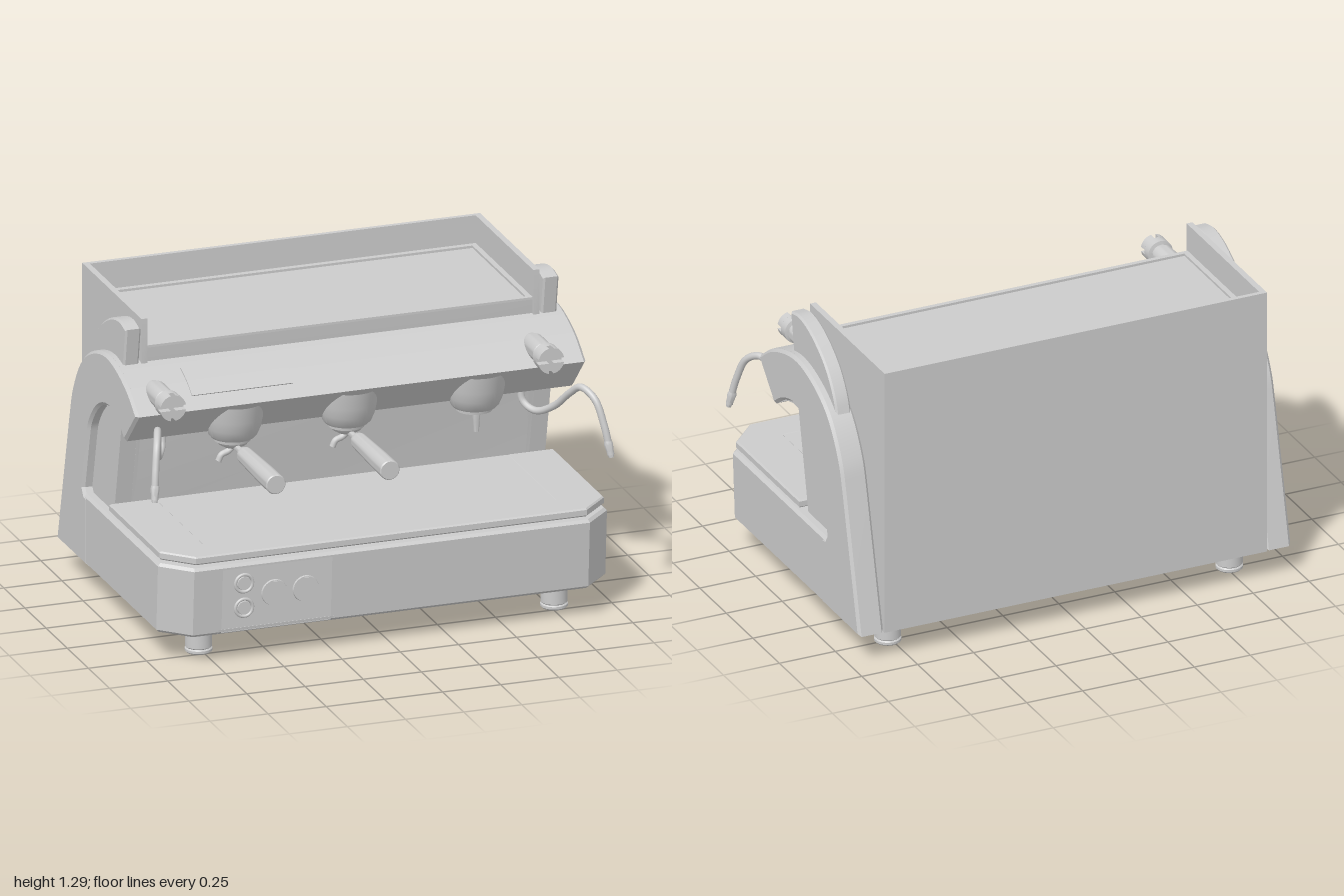
import * as THREE from 'three';
import { toCreasedNormals } from 'three/addons/utils/BufferGeometryUtils.js';

const grey = new THREE.MeshStandardMaterial({ color: 0xcccccc });
const V2 = (p) => new THREE.Vector2(p[0], p[1]);
const V3 = (p) => new THREE.Vector3(p[0], p[1], p[2]);

function add(parent, name, geo, x = 0, y = 0, z = 0) {
  const m = new THREE.Mesh(geo, grey);
  m.name = name;
  m.position.set(x, y, z);
  parent.add(m);
  return m;
}

// Smooth run of [z, y] points through a few control points
function smooth(pts, n = 28) {
  const c = new THREE.CatmullRomCurve3(pts.map((p) => new THREE.Vector3(p[0], p[1], 0)), false, 'centripetal');
  return c.getPoints(n).map((p) => [p.x, p.y]);
}

function extrude(pts, depth, bevel) {
  return new THREE.ExtrudeGeometry(new THREE.Shape(pts.map(V2)), {
    depth: depth - 2 * bevel, bevelEnabled: bevel > 0, bevelSize: bevel,
    bevelThickness: bevel, bevelOffset: -bevel, bevelSegments: 1,
  }).translate(0, 0, bevel - depth / 2);
}

// Side profile [z, y] swept across x
const across = (pts, width, bevel = 0) =>
  toCreasedNormals(extrude(pts, width, bevel).rotateY(-Math.PI / 2), 0.4);

// Plan outline [x, z] swept up from y0 to y1
const upward = (pts, y0, y1, bevel = 0) =>
  toCreasedNormals(extrude(pts, y1 - y0, bevel).rotateX(Math.PI / 2).translate(0, (y0 + y1) / 2, 0), 0.4);

// Turned part; forward = true lays its axis along +z
function turned(pts, forward = false, seg = 32) {
  const g = new THREE.LatheGeometry(pts.map(V2), seg);
  if (forward) g.rotateX(Math.PI / 2);
  return toCreasedNormals(g, 0.6);
}

// Slant a geometry forwards or backwards with height, wherever z > zMin
function lean(geo, y0, slope, zMin = -Infinity) {
  const p = geo.attributes.position;
  for (let i = 0; i < p.count; i++) if (p.getZ(i) > zMin) p.setZ(i, p.getZ(i) + (p.getY(i) - y0) * slope);
  return toCreasedNormals(geo, 0.4);
}

const tube = (pts, r, n = 60) =>
  new THREE.TubeGeometry(new THREE.CatmullRomCurve3(pts.map(V3)), n, r, 12);

// Front edge with chamfered corners, from right to left, with an optional notch
const chamferedFront = (w, front, c, notch = []) =>
  [[w, front - c], [w - c, front], ...notch, [c - w, front], [-w, front - c]];

const outerArc = [[0.294, 0.971], [0.163, 1.06], [-0.05, 1.117], [-0.227, 1.08], [-0.368, 0.993], [-0.474, 0.833], [-0.513, 0.706]];
const innerArc = [[-0.29, 0.691], [-0.269, 0.752], [-0.173, 0.855], [-0.05, 0.9], [0.057, 0.876], [0.147, 0.818]];

function buildBody(g) {
  // Base with a leaning front and a notch for the controls
  const notch = [[-0.257, 0.655], [-0.257, 0.6], [-0.727, 0.6], [-0.727, 0.655]];
  const plan = [[-0.965, -0.56], [0.965, -0.56], ...chamferedFront(0.965, 0.655, 0.115, notch)];
  add(g, 'base', lean(upward(plan, 0.125, 0.428, 0.012), 0.428, 0.07, 0.4));

  // Drip tray floating just above the base: frame around a slightly sunken grid
  add(g, 'dripTrayFrame', upward([[-0.955, -0.065], [-0.755, -0.065], [-0.755, 0.5], [0.755, 0.5], [0.755, -0.065], [0.955, -0.065],
    ...chamferedFront(0.955, 0.645, 0.115)], 0.44, 0.475, 0.006));
  add(g, 'dripGrid', new THREE.BoxGeometry(1.515, 0.031, 0.57), 0, 0.4565, 0.22);

  // Cabinet and working wall
  const wall = [[-0.655, 0.125], [-0.12, 0.125], [-0.09, 0.42], [0.01, 0.88]];
  add(g, 'cabinet', across([...wall, [0.035, 1.166], [-0.655, 1.166]], 1.68));
  add(g, 'workingWall', across([[-0.09, 0.42], [0.01, 0.885], [-0.17, 0.9], [-0.32, 0.75], [-0.4, 0.42]], 1.85));
  add(g, 'backPanel', new THREE.BoxGeometry(1.71, 1.17, 0.02), 0, 0.71, -0.65);

  // Cup tray on top: raised border around a sunken floor, open at the front
  add(g, 'cupTrayBackBorder', new THREE.BoxGeometry(1.66, 0.01, 0.03), 0, 1.171, -0.63);
  add(g, 'cupTrayFrontBorder', new THREE.BoxGeometry(1.66, 0.01, 0.02), 0, 1.171, 0.025);
  for (const s of [-1, 1]) {
    add(g, 'sidePanel', across([...wall, [0.042, 1.06], [0.042, 1.295], [-0.655, 1.295]], 0.026), s * 0.842);
    add(g, 'cupTraySideBorder', new THREE.BoxGeometry(0.024, 0.01, 0.63), s * 0.818, 1.171, -0.3);
  }

  // Side arches and the fins above them
  const arch = [...smooth(outerArc), [-0.655, 0.125], [-0.3, 0.125], [-0.3, 0.42], [-0.33, 0.425], [-0.347, 0.45], ...smooth(innerArc, 20)];
  const fin = [[0.032, 1.06], ...smooth([[0.067, 1.265], [-0.01, 1.28], [-0.12, 1.255], [-0.262, 1.167], [-0.343, 1.06], [-0.372, 0.98]], 18), [-0.2, 0.95]];
  for (const s of [-1, 1]) {
    add(g, 'sideArch', across(arch, 0.113, 0.012), s * 0.911);
    add(g, 'sideFin', across(fin, 0.067, 0.008), s * 0.898);
  }

  // Curved hood between the arches, with a thin display strip following it
  const top = smooth(outerArc.slice(0, 4), 48);
  add(g, 'hood', across([...top, [-0.227, 0.88], [0, 0.885], [0.057, 0.87], [0.147, 0.818]], 1.9));
  const face = top.filter(([z]) => z > 0.09 && z < 0.24).map(([z, y]) => [z + 0.002, y + 0.005]);
  add(g, 'display', across([...face, [0.09, 1.06], [0.22, 0.99]], 0.435), -0.4925);
}

function buildControls(g) {
  // Upright plate set back in the notch, closed above and below
  const c = new THREE.Group();
  c.name = 'controlPanel';
  c.position.set(0, 0.277, 0.634);
  g.add(c);
  add(c, 'controlPlate', new THREE.BoxGeometry(0.47, 0.29, 0.04), -0.492, 0, -0.02);
  add(g, 'panelTop', across([[0.59, 0.408], [0.6535, 0.408], [0.654, 0.416], [0.643, 0.428], [0.59, 0.428]], 0.494), -0.492);
  add(g, 'panelBottom', across([[0.59, 0.125], [0.622, 0.125], [0.6345, 0.137], [0.636, 0.147], [0.59, 0.147]], 0.494), -0.492);
  for (const y of [-0.047, 0.058]) {
    add(c, 'buttonRing', new THREE.TorusGeometry(0.037, 0.007, 8, 28), -0.63, y, 0.002);
    add(c, 'button', turned([[0.03, 0], [0.028, 0.007], [0, 0.007]], true), -0.63, y);
  }
  for (const x of [-0.5, -0.365]) {
    add(c, 'dial', turned([[0.056, 0], [0.054, 0.008], [0, 0.008]], true), x, 0.003);
    add(c, 'dialGrip', new THREE.BoxGeometry(0.016, 0.104, 0.016), x, 0.003, 0.01);
  }
}

function buildFeet(g) {
  const profile = [[0, 0], [0.05, 0], [0.056, 0.006], [0.056, 0.016], [0.05, 0.021], [0.055, 0.026], [0.055, 0.112], [0.075, 0.116], [0.075, 0.13]];
  for (const x of [-0.762, 0.766]) for (const z of [0.46, -0.5]) add(g, 'foot', turned(profile), x, 0, z);
}

function buildGroupHead(g, x, withHandle) {
  const h = new THREE.Group();
  h.name = 'groupHead';
  h.position.set(x, 0, 0.143);
  g.add(h);
  const head = turned([[0, 0.768], [0.075, 0.768], [0.075, 0.784], [0.09, 0.786], [0.1, 0.798], [0.112, 0.835], [0.117, 0.88], [0.118, 0.95]], false, 40);
  add(h, 'brewHead', lean(head, 0.79, 0.2));
  if (!withHandle) {
    add(h, 'waterSpout', turned([[0, 0.68], [0.011, 0.68], [0.013, 0.72], [0.016, 0.75], [0.016, 0.78]]), 0, 0, 0.02);
    return;
  }
  // Portafilter: bowl, twin spouts and handle
  add(h, 'filterBowl', turned([[0, 0.735], [0.035, 0.74], [0.06, 0.755], [0.07, 0.775]]));
  for (const s of [-1, 1])
    add(h, 'spout', tube([[0, 0.75, 0.018], [s * 0.025, 0.728, 0.018], [s * 0.055, 0.715, 0.018], [s * 0.068, 0.69, 0.018]], 0.013, 16));
  add(h, 'handle', turned([[0, 0.03], [0.013, 0.03], [0.013, 0.127], [0.03, 0.131], [0.034, 0.142], [0.036, 0.157], [0.042, 0.404], [0.042, 0.51], [0.038, 0.515], [0, 0.515]], true), 0, 0.75, 0);
}

function buildValve(g, x) {
  const v = new THREE.Group();
  v.name = 'steamValve';
  v.position.set(x, 1.03, 0);
  g.add(v);
  add(v, 'valveBody', turned([[0, 0.1], [0.03, 0.12], [0.047, 0.18], [0.047, 0.3], [0.04, 0.305], [0.04, 0.318], [0.055, 0.322], [0.055, 0.36], [0, 0.36]], true));
  // Four quarter prongs leave a cross-shaped slot
  const q = new THREE.Shape();
  const a = Math.asin(0.01 / 0.055);
  q.moveTo(0.01, 0.01);
  q.lineTo(0.055 * Math.cos(a), 0.01);
  q.absarc(0, 0, 0.055, a, Math.PI / 2 - a, false);
  q.closePath();
  for (let i = 0; i < 4; i++) {
    const m = add(v, 'valveProng', new THREE.ExtrudeGeometry(q, { depth: 0.033, bevelEnabled: false }), 0, 0, 0.359);
    m.rotation.z = i * Math.PI / 2;
  }
}

function buildWand(g, pts) {
  add(g, 'steamWand', tube(pts, 0.015));
  // Nozzle follows the last stretch of the pipe
  const end = V3(pts[pts.length - 1]);
  const dir = end.clone().sub(V3(pts[pts.length - 2])).normalize();
  const tip = add(g, 'wandNozzle', turned([[0, -0.012], [0.011, -0.012], [0.019, 0.045], [0.015, 0.06]]), end.x, end.y, end.z);
  tip.quaternion.setFromUnitVectors(new THREE.Vector3(0, -1, 0), dir);
}

export function createModel() {
  const g = new THREE.Group();
  g.name = 'espressoMachine';
  buildBody(g);
  buildControls(g);
  buildFeet(g);
  buildGroupHead(g, -0.5, true);
  buildGroupHead(g, -0.01, true);
  buildGroupHead(g, 0.54, false);
  buildValve(g, -0.845);
  buildValve(g, 0.78);
  buildWand(g, [[-0.79, 0.87, 0.11], [-0.8, 0.77, 0.13], [-0.83, 0.75, 0.18], [-0.865, 0.79, 0.26], [-0.89, 0.89, 0.33], [-0.92, 0.95, 0.41], [-0.95, 0.92, 0.485], [-0.97, 0.83, 0.525], [-0.985, 0.71, 0.555]]);
  buildWand(g, [[0.75, 0.87, 0.11], [0.755, 0.77, 0.12], [0.79, 0.74, 0.17], [0.84, 0.78, 0.25], [0.88, 0.865, 0.34], [0.905, 0.905, 0.4], [0.94, 0.87, 0.465], [0.965, 0.77, 0.505], [0.985, 0.65, 0.53]]);
  return g;
}
